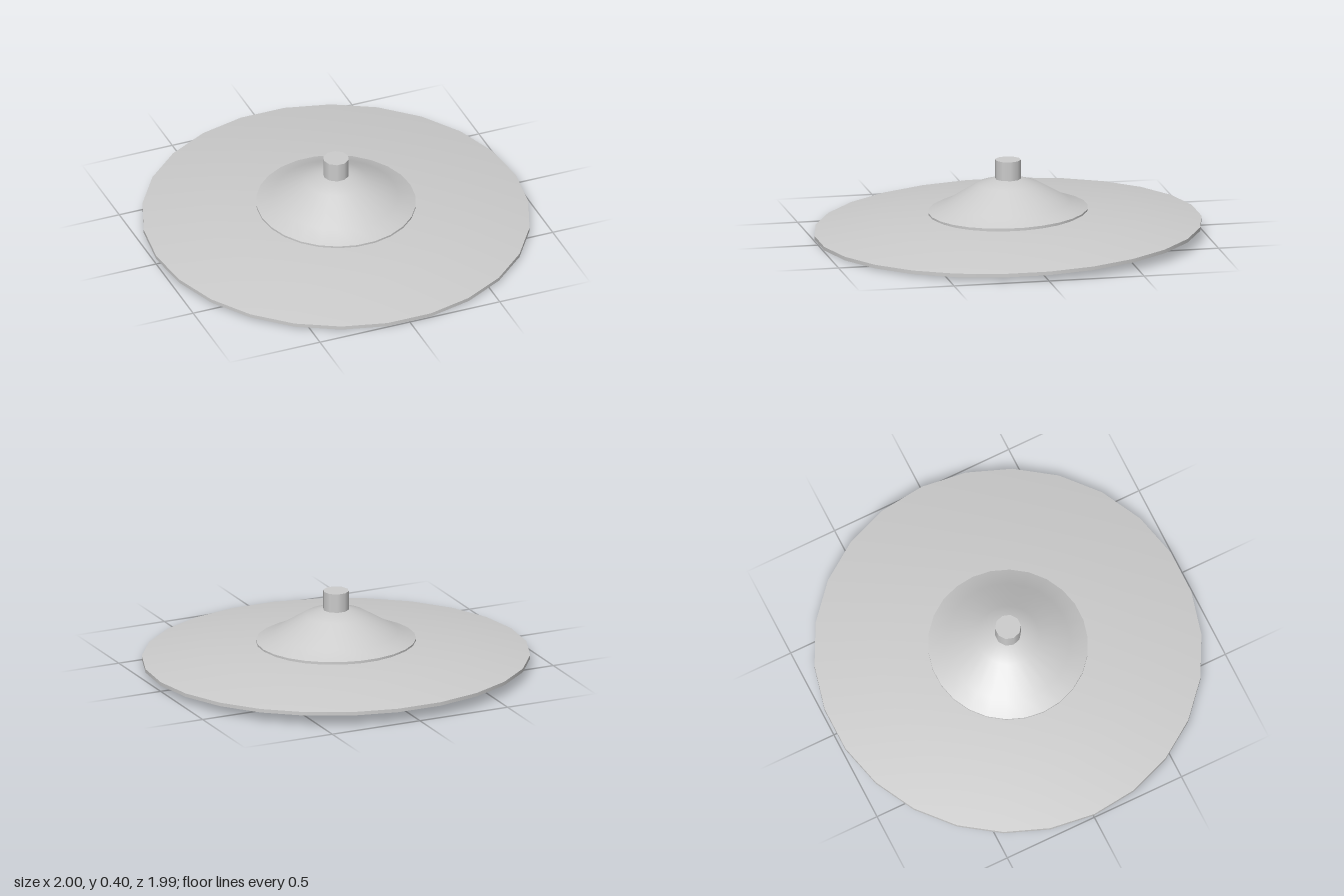
import * as THREE from 'three';
import { mergeGeometries } from 'three/addons/utils/BufferGeometryUtils.js';

const SIDES = 26;

// Forward tilt: rings dip toward the front, fading out near the crown's top
function tilt(geometry) {
  const p = geometry.attributes.position;
  for (let i = 0; i < p.count; i++) {
    const r = Math.hypot(p.getX(i), p.getZ(i));
    const amount = THREE.MathUtils.clamp((r - 0.12) / 0.28, 0, 1);
    p.setY(i, p.getY(i) - 0.031 * amount * p.getZ(i));
  }
  return geometry;
}

// Each profile is smooth along itself; separate profiles meet in a sharp edge
function turned(name, profiles) {
  const pieces = profiles.map((points) => tilt(new THREE.LatheGeometry(
    points.map(([r, y]) => new THREE.Vector2(r, y)), SIDES, Math.PI / 2)));
  const mesh = new THREE.Mesh(mergeGeometries(pieces),
    new THREE.MeshStandardMaterial({ color: 0xcccccc, side: THREE.DoubleSide }));
  mesh.name = name;
  return mesh;
}

export function createModel() {
  const group = new THREE.Group();
  group.name = 'wideHat';

  // Broad, thin brim with an open centre
  group.add(turned('brim', [
    [[1, 0.031], [1, 0.05]],
    [[1, 0.05], [0.68, 0.102], [0.395, 0.121]],
    [[0.395, 0.121], [0.395, 0.1]],
    [[0.395, 0.1], [0.68, 0.082], [1, 0.031]],
  ]));

  // Band under the crown's lip
  group.add(turned('band', [
    [[0.395, 0.1], [0.395, 0.128]],
    [[0.395, 0.128], [0.412, 0.13]],
  ]));

  // Bell-shaped hollow crown with a narrow lip
  group.add(turned('crown', [
    [[0.412, 0.13], [0.412, 0.14]],
    [[0.412, 0.14], [0.32, 0.178], [0.16, 0.275], [0.07, 0.302], [0, 0.305]],
  ]));

  // Small ten-sided knob
  const knob = new THREE.Mesh(
    new THREE.CylinderGeometry(0.067, 0.067, 0.11, 10, 1, false, Math.PI / 2),
    new THREE.MeshStandardMaterial({ color: 0xcccccc }));
  knob.name = 'knob';
  knob.position.y = 0.347;
  group.add(knob);

  return group;
}
